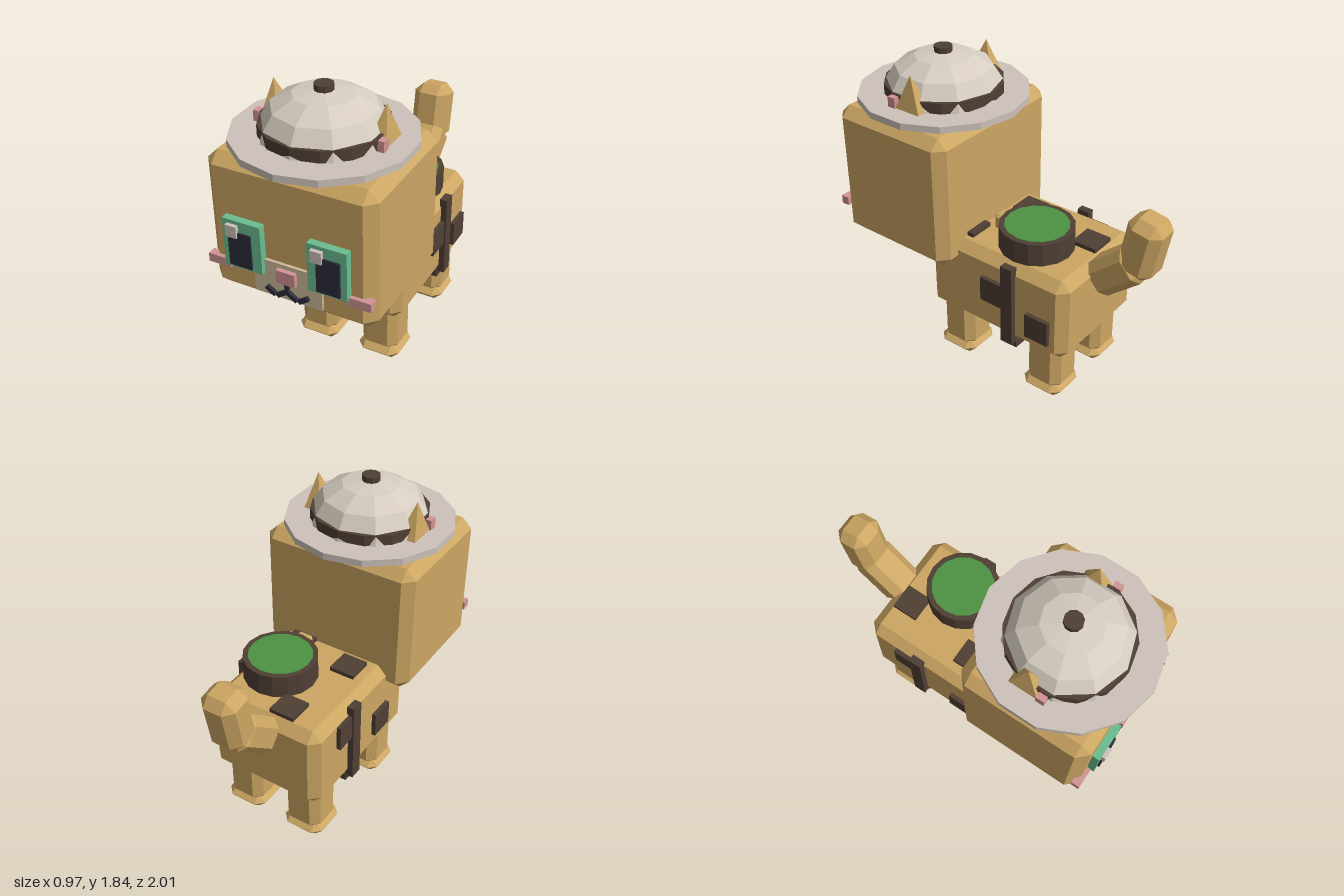
import * as THREE from 'three';
import { ConvexGeometry } from 'three/addons/geometries/ConvexGeometry.js';

export function createModel() {
  const root = new THREE.Group();
  root.name = 'catWithHat';

  const mat = (name, color) => {
    const m = new THREE.MeshStandardMaterial({ color });
    m.name = name;
    return m;
  };
  const fur = mat('tan fur', 0xcca663);
  const cream = mat('cream', 0xcfbc99);
  const brown = mat('dark brown', 0x503f35);
  const green = mat('grass green', 0x4e9143);
  const iris = mat('mint green', 0x6abd90);
  const ink = mat('dark ink', 0x2d2d3b);
  const pink = mat('pink', 0xd29393);
  const hatTop = mat('pale hat', 0xd6cdc0);
  const hatBrim = mat('hat brim grey', 0xcdc2ba);

  const add = (name, geometry, material, x = 0, y = 0, z = 0) => {
    const mesh = new THREE.Mesh(geometry, material);
    mesh.name = name;
    mesh.position.set(x, y, z);
    root.add(mesh);
    return mesh;
  };

  // Faceted surfaces: every face gets its own normal
  const flat = (geometry) => {
    const g = geometry.index ? geometry.toNonIndexed() : geometry;
    g.computeVertexNormals();
    return g;
  };

  // Box with all edges cut off by c
  const chamferBox = (w, h, d, c) => {
    const pts = [];
    for (const sx of [-1, 1]) for (const sy of [-1, 1]) for (const sz of [-1, 1]) {
      const x = w / 2, y = h / 2, z = d / 2;
      pts.push(new THREE.Vector3(sx * x, sy * (y - c), sz * (z - c)));
      pts.push(new THREE.Vector3(sx * (x - c), sy * y, sz * (z - c)));
      pts.push(new THREE.Vector3(sx * (x - c), sy * (y - c), sz * z));
    }
    return new ConvexGeometry(pts);
  };

  // Plain box given by its limits on each axis
  const block = (name, material, x0, x1, y0, y1, z0, z1) =>
    add(name, new THREE.BoxGeometry(x1 - x0, y1 - y0, z1 - z0), material,
      (x0 + x1) / 2, (y0 + y1) / 2, (z0 + z1) / 2);

  const prism = (name, material, r, y0, y1, sides, x, z) =>
    add(name, flat(new THREE.CylinderGeometry(r, r, y1 - y0, sides)), material, x, (y0 + y1) / 2, z);

  // Head and body
  add('head', chamferBox(0.97, 0.82, 0.785, 0.06), fur, 0, 1.12, 0.512);
  add('body', chamferBox(0.724, 0.53, 0.975, 0.057), fur, 0, 0.595, -0.133);
  block('chestPatch', cream, -0.17, 0.17, 0.395, 0.75, 0.33, 0.392);

  // Legs and feet
  for (const x of [-0.205, 0.205]) {
    for (const z of [0.197, -0.442]) {
      add('leg', chamferBox(0.23, 0.36, 0.23, 0.048), fur, x, 0.23, z);
      add('foot', chamferBox(0.26, 0.1, 0.26, 0.048), fur, x, 0.05, z + 0.006);
    }
  }

  // Tail in two tilted pieces
  add('tailBase', chamferBox(0.225, 0.36, 0.215, 0.05), fur, 0, 0.85, -0.735).rotation.x = -0.86;
  add('tailTip', chamferBox(0.22, 0.37, 0.21, 0.053), fur, 0, 1.062, -0.88).rotation.x = -0.175;

  // Fur patches on the flanks and the back
  block('leftFrontPatch', brown, 0.35, 0.388, 0.555, 0.71, -0.215, -0.06);
  block('leftRearPatch', brown, 0.35, 0.388, 0.44, 0.595, -0.53, -0.375);
  block('rightFrontPatch', brown, -0.388, -0.35, 0.455, 0.61, -0.025, 0.13);
  block('rightRearPatch', brown, -0.388, -0.35, 0.645, 0.8, -0.412, -0.257);
  for (const [x, z] of [[-0.097, -0.482], [-0.177, 0.003], [0.197, 0.155]]) {
    block('backPatch', brown, x - 0.078, x + 0.078, 0.85, 0.885, z - 0.078, z + 0.078);
  }

  // Strap round the belly
  for (const s of [-1, 1]) {
    add('sideStrap', new THREE.BoxGeometry(0.045, 0.52, 0.078), brown, s * 0.375, 0.597, -0.253);
  }
  block('bellyStrap', brown, -0.352, 0.352, 0.29, 0.335, -0.292, -0.214);

  // Round tub with a green filling and a small clasp
  prism('tub', brown, 0.217, 0.87, 1.008, 16, 0.116, -0.257);
  prism('tubFilling', green, 0.186, 1.004, 1.011, 16, 0.116, -0.257);
  add('tubClasp', chamferBox(0.095, 0.095, 0.06, 0.015), fur, 0.118, 0.942, -0.015);

  // Eyes; both glints sit on the same side
  for (const s of [-1, 1]) {
    add('eye', new THREE.BoxGeometry(0.225, 0.288, 0.05), iris, s * 0.247, 1.056, 0.922);
    add('pupil', new THREE.BoxGeometry(0.134, 0.207, 0.02), ink, s * 0.257, 1.032, 0.948);
    add('eyeGlint', new THREE.BoxGeometry(0.065, 0.07, 0.025), hatBrim, s < 0 ? -0.297 : 0.197, 1.143, 0.957);
    add('cheek', new THREE.BoxGeometry(0.137, 0.052, 0.05), pink, s * 0.413, 0.901, 0.902);
  }

  // Muzzle, nose and mouth
  block('muzzle', cream, -0.2, 0.2, 0.78, 0.995, 0.89, 0.921);
  block('nose', pink, -0.056, 0.056, 0.892, 0.97, 0.9, 0.947);
  block('mouthStem', ink, -0.011, 0.011, 0.835, 0.895, 0.91, 0.94);
  for (const s of [-1, 1]) {
    const stroke = new THREE.BoxGeometry(0.066, 0.025, 0.03);
    add('mouthInner', stroke, ink, s * 0.031, 0.819, 0.926).rotation.z = -s * 0.6;
    add('mouthOuter', stroke, ink, s * 0.097, 0.819, 0.926).rotation.z = s * 0.6;
  }

  // Ears
  for (const s of [-1, 1]) {
    const ear = new THREE.ConeGeometry(Math.SQRT1_2, 1, 4, 1);
    ear.rotateY(Math.PI / 4);
    ear.scale(0.145, 0.27, 0.23);
    const mesh = add('ear', flat(ear), fur, s * 0.316, 1.645, 0.452);
    mesh.rotation.z = -s * 0.06;
    add('innerEar', new THREE.BoxGeometry(0.035, 0.09, 0.05), pink, s * 0.358, 1.593, 0.558);
  }

  // Hat: faceted dome, brim, band and button
  const profile = [[0.388, 1.497], [0.355, 1.56], [0.337, 1.635], [0.282, 1.722], [0.168, 1.785], [0.001, 1.812]]
    .map(([r, y]) => new THREE.Vector2(r, y));
  add('hatDome', flat(new THREE.LatheGeometry(profile, 10)), hatTop, 0, 0, 0.498);
  prism('hatBrim', hatBrim, 0.498, 1.537, 1.577, 14, 0, 0.502);
  const bandProfile = [[0.3, 1.575], [0.346, 1.575], [0.346, 1.64], [0.3, 1.64]]
    .map(([r, y]) => new THREE.Vector2(r, y));
  add('hatBand', flat(new THREE.LatheGeometry(bandProfile, 14)), brown, 0, 0, 0.498);
  prism('hatButton', brown, 0.053, 1.79, 1.838, 10, 0, 0.498);

  return root;
}
